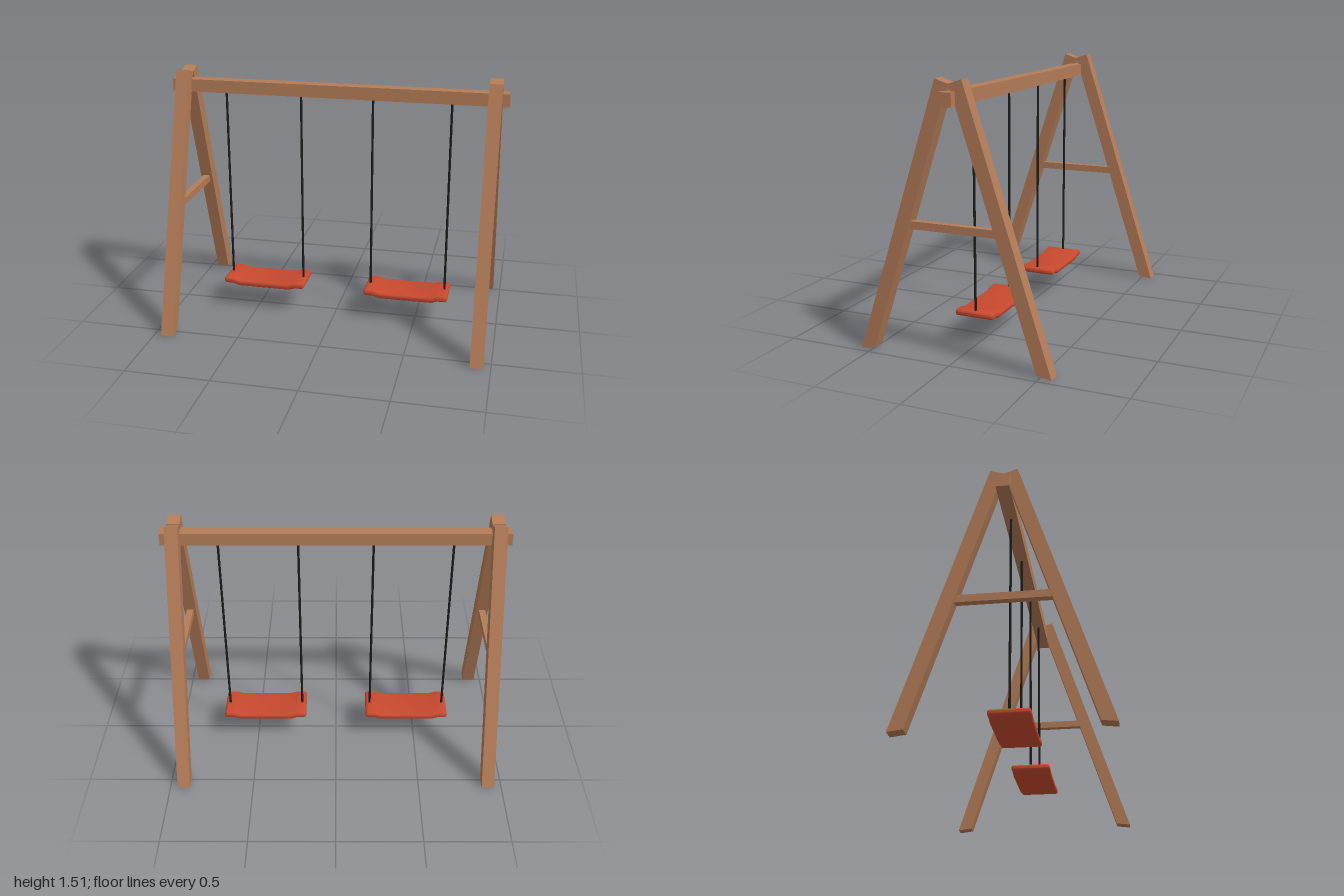
import * as THREE from 'three';
import { toCreasedNormals } from 'three/addons/utils/BufferGeometryUtils.js';

const material = (name, color) => {
  const m = new THREE.MeshStandardMaterial({ color });
  m.name = name;
  return m;
};

function add(parent, name, geometry, mat, x = 0, y = 0, z = 0) {
  const mesh = new THREE.Mesh(geometry, mat);
  mesh.name = name;
  mesh.position.set(x, y, z);
  parent.add(mesh);
  return mesh;
}

// Slanted leg: side outline in (z, y), extruded across its width
function legGeometry(width) {
  const outline = [[0.568, 0], [0.076, 1.514], [0.003, 1.49], [0.484, 0.01]];
  const shape = new THREE.Shape(outline.map(([z, y]) => new THREE.Vector2(z, y)));
  return new THREE.ExtrudeGeometry(shape, { depth: width, bevelEnabled: false })
    .translate(0, 0, -width / 2)
    .rotateY(-Math.PI / 2);
}

// Dished seat: constant-thickness strip with raised, rounded ends
function seatGeometry() {
  const r = 0.0185, end = 0.258, raised = 0.185, low = 0.172, bevel = 0.014;
  const depth = 0.232;
  const s = new THREE.Shape();
  s.moveTo(-0.16, low - r);
  s.lineTo(0.16, low - r);
  s.lineTo(0.2, raised - r);
  s.lineTo(end - r, raised - r);
  s.absarc(end - r, raised, r, -Math.PI / 2, Math.PI / 2, false);
  s.lineTo(0.195, raised + r);
  s.lineTo(0.155, low + r);
  s.lineTo(-0.155, low + r);
  s.lineTo(-0.195, raised + r);
  s.lineTo(-end + r, raised + r);
  s.absarc(-end + r, raised, r, Math.PI / 2, Math.PI * 1.5, false);
  s.lineTo(-0.2, raised - r);
  s.closePath();
  const geometry = new THREE.ExtrudeGeometry(s, {
    depth: depth - 2 * bevel, curveSegments: 6,
    bevelThickness: bevel, bevelSize: bevel, bevelOffset: -bevel, bevelSegments: 4,
  }).translate(0, 0, -depth / 2 + bevel);
  return toCreasedNormals(geometry, 0.6);
}

export function createModel() {
  const wood = material('wood', 0xb37c57);
  const red = material('seat red', 0xc8492e);
  const black = material('rope black', 0x1c1c1c);

  const model = new THREE.Group();
  model.name = 'swingSet';

  // Top beam
  add(model, 'topBeam', new THREE.BoxGeometry(2, 0.075, 0.077), wood, 0, 1.4135, 0);

  // A-frames at both ends
  const leg = legGeometry(0.075);
  const brace = new THREE.BoxGeometry(0.04, 0.043, 0.56);
  for (const side of [-1, 1]) {
    const frame = new THREE.Group();
    frame.name = side > 0 ? 'leftFrame' : 'rightFrame';
    frame.position.x = side * 0.92;
    add(frame, 'frontLeg', leg, wood);
    add(frame, 'backLeg', leg, wood).rotation.y = Math.PI;
    add(frame, 'crossBrace', brace, wood, 0, 0.731, 0);
    model.add(frame);
  }

  // Two swings hanging from the beam
  const seat = seatGeometry();
  const rope = new THREE.CylinderGeometry(0.007, 0.007, 1.2, 12);
  for (const side of [-1, 1]) {
    const swing = new THREE.Group();
    swing.name = side > 0 ? 'leftSwing' : 'rightSwing';
    swing.position.x = side * 0.446;
    add(swing, 'seat', seat, red);
    for (const x of [-0.23, 0.23]) add(swing, 'rope', rope, black, x, 0.785, 0);
    model.add(swing);
  }
  return model;
}
